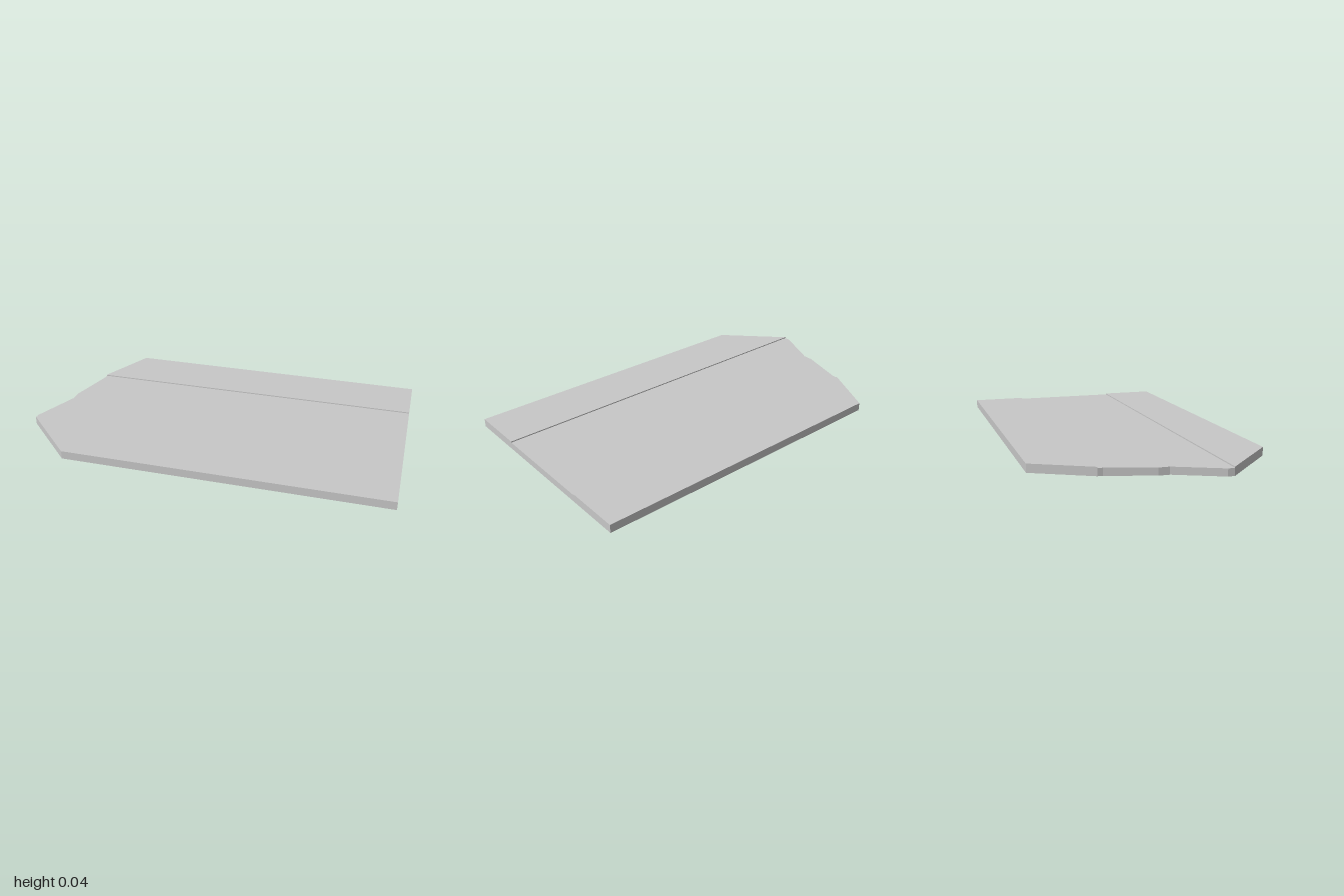
import * as THREE from 'three';

// Flat plate from an outline of [x, z] points, facing up.
function plate(name, outline, y, material) {
  const shape = new THREE.Shape(outline.map(([x, z]) => new THREE.Vector2(x, -z)));
  const geometry = new THREE.ShapeGeometry(shape);
  geometry.rotateX(-Math.PI / 2);
  geometry.translate(0, y, 0);
  const mesh = new THREE.Mesh(geometry, material);
  mesh.name = name;
  return mesh;
}

// Upright strip along a path of [x, z] points; it faces right of the direction of travel, seen with x right and z up.
function wall(name, path, bottom, top, material) {
  const positions = [];
  for (let i = 0; i < path.length - 1; i++) {
    const [ax, az] = path[i];
    const [bx, bz] = path[i + 1];
    positions.push(ax, bottom, az, bx, bottom, bz, bx, top, bz);
    positions.push(ax, bottom, az, bx, top, bz, ax, top, az);
  }
  const geometry = new THREE.BufferGeometry();
  geometry.setAttribute('position', new THREE.Float32BufferAttribute(positions, 3));
  geometry.computeVertexNormals();
  const mesh = new THREE.Mesh(geometry, material);
  mesh.name = name;
  return mesh;
}

export function createModel() {
  const group = new THREE.Group();
  group.name = 'brokenPanel';
  const grey = new THREE.MeshStandardMaterial({ color: 0xc8c8c8, side: THREE.DoubleSide });
  grey.name = 'plain grey';

  const edge = 0.592, seam = 0.296, high = 0.044, low = 0.038;

  // Raised outer strips: top and hanging rim, open underneath
  const front = [[-1, seam], [-0.705, edge], [1, edge], [1, seam]];
  const back = [[1, -seam], [1, -edge], [-0.675, -edge], [-0.825, -seam]];
  for (const [name, outline] of [['front', front], ['back', back]]) {
    group.add(plate(name + 'Top', outline, high, grey));
    group.add(wall(name + 'Rim', outline, 0, high, grey));
  }

  // Sunken middle with a straight end and a jagged broken end
  const brokenEnd = [[-0.825, -seam], [-0.825, -0.27], [-0.895, -0.03],
    [-0.895, 0.025], [-1, 0.262], [-1, seam]];
  const straightEnd = [[1, seam], [1, -seam]];
  group.add(plate('middleTop', [...brokenEnd, ...straightEnd], low, grey));
  group.add(wall('brokenEndRim', brokenEnd, 0, low, grey));
  group.add(wall('straightEndRim', straightEnd, 0, low, grey));

  // Small steps between the middle and the outer strips
  group.add(wall('frontStep', [[1, seam], [-1, seam]], low, high, grey));
  group.add(wall('backStep', [[-0.825, -seam], [1, -seam]], low, high, grey));

  return group;
}
